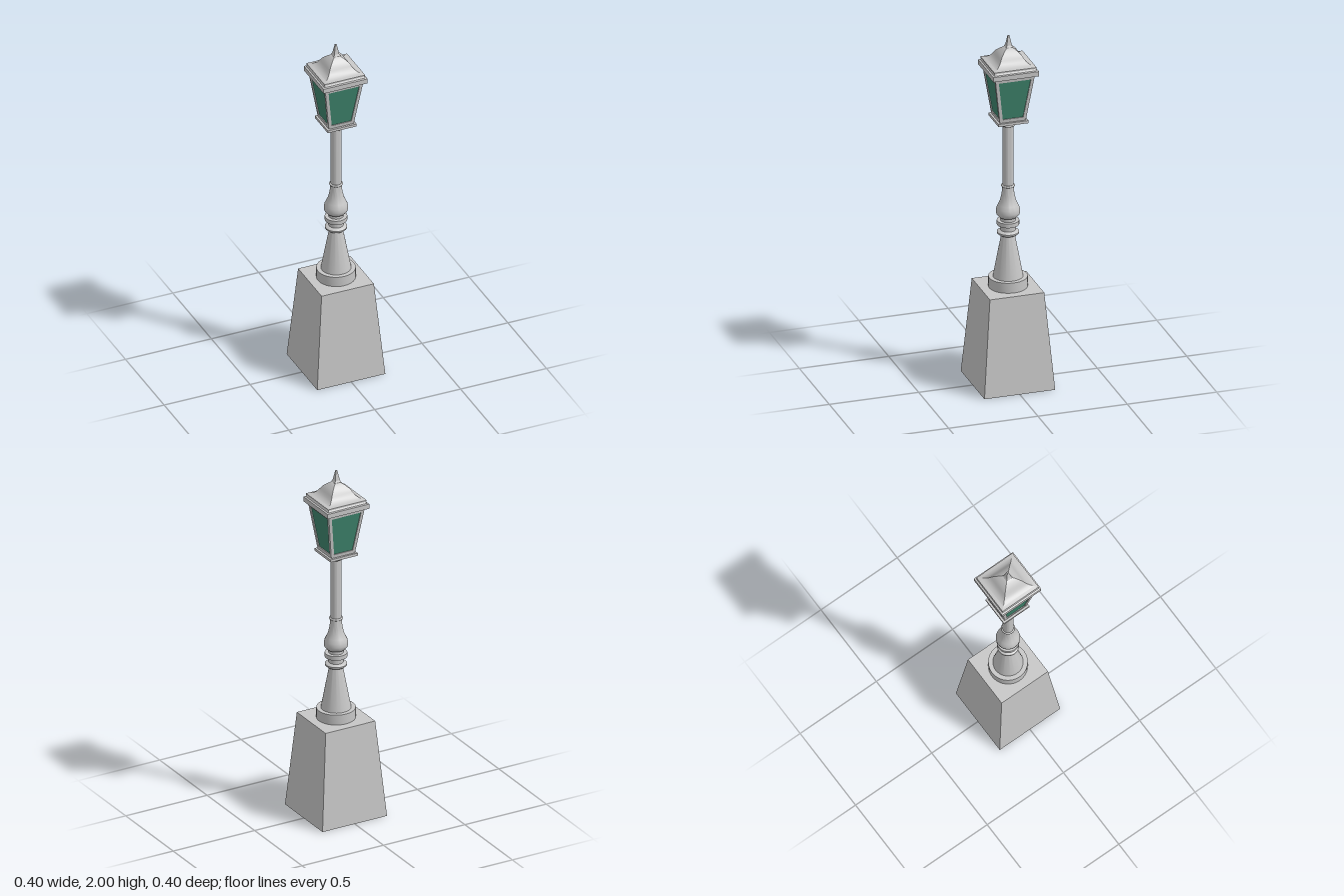
import * as THREE from 'three';
import { toCreasedNormals } from 'three/addons/utils/BufferGeometryUtils.js';

const metal = new THREE.MeshStandardMaterial({ color: 0xc6c6c6 });
metal.name = 'grey metal';
const glass = new THREE.MeshStandardMaterial({ color: 0x3e846c });
glass.name = 'green glass';

function add(parent, name, geometry, material = metal) {
  const mesh = new THREE.Mesh(geometry, material);
  mesh.name = name;
  parent.add(mesh);
  return mesh;
}

// Turned part: profile of [radius, height] from bottom to top
function turned(profile, crease = 0.6) {
  const points = profile.map(([r, y]) => new THREE.Vector2(r, y));
  return toCreasedNormals(new THREE.LatheGeometry(points, 40), crease);
}

// Square part with sloping sides: profile of [half width, height]
function squared(profile, crease = 0.01) {
  const points = profile.map(([h, y]) => new THREE.Vector2(h * Math.SQRT2, y));
  const geometry = new THREE.LatheGeometry(points, 4, Math.PI / 4);
  return toCreasedNormals(geometry, crease);
}

const BOTTOM = 1.525, TOP = 1.8;
const wallAt = (y) => 0.072 + (0.111 - 0.072) * (y - BOTTOM) / (TOP - BOTTOM);

function trapezoid(Type, w0, y0, w1, y1) {
  const path = new Type();
  path.moveTo(-w0, y0);
  path.lineTo(w0, y0);
  path.lineTo(w1, y1);
  path.lineTo(-w1, y1);
  path.closePath();
  return path;
}

// Lean a flat panel outwards to follow the lantern wall
function lean(geometry, inset) {
  const p = geometry.attributes.position;
  for (let i = 0; i < p.count; i++) p.setZ(i, p.getZ(i) + wallAt(p.getY(i)) - inset);
  geometry.computeVertexNormals();
  return geometry;
}

export function createModel() {
  const model = new THREE.Group();
  model.name = 'lampPost';

  // Tapered plinth
  add(model, 'plinth', squared([[0, 0], [0.198, 0], [0.152, 0.55], [0, 0.55]]));

  // Round post
  const post = new THREE.Group();
  post.name = 'post';
  model.add(post);
  add(post, 'collar', turned([[0.105, 0.549], [0.105, 0.608], [0, 0.608]]));
  add(post, 'taperedFoot', turned([[0.081, 0.607], [0.036, 0.85]]));
  add(post, 'lowerRing', turned([
    [0.034, 0.845], [0.05, 0.85], [0.059, 0.858], [0.059, 0.866], [0.05, 0.873], [0.034, 0.877],
  ], 0.9));
  add(post, 'neck', turned([[0.04, 0.86], [0.04, 0.96]]));
  add(post, 'middleRing', turned([[0.035, 0.907], [0.06, 0.907], [0.06, 0.931], [0.035, 0.931]]));
  add(post, 'bulb', turned([
    [0.03, 0.951], [0.05, 0.953], [0.062, 0.968], [0.065, 0.983], [0.062, 1.003], [0.053, 1.023],
    [0.043, 1.045], [0.036, 1.075], [0.032, 1.1], [0.03, 1.13],
  ], 0.8));
  add(post, 'shaft', turned([[0.029, 1.12], [0.029, 1.52]]));
  for (const [name, y, r] of [['shaftRing', 1.132, 0.031], ['topRing', 1.486, 0.034]]) {
    const ring = add(post, name, new THREE.TorusGeometry(r, 0.006, 10, 40));
    ring.rotation.x = Math.PI / 2;
    ring.position.y = y;
  }

  // Lantern
  const lantern = new THREE.Group();
  lantern.name = 'lantern';
  lantern.position.z = -0.003;
  model.add(lantern);
  add(lantern, 'lanternFloor', squared([
    [0, 1.513], [0.084, 1.513], [0.084, 1.528], [0, 1.528],
  ]));

  // Four framed panes
  for (let i = 0; i < 4; i++) {
    const side = new THREE.Group();
    side.name = 'lanternSide';
    side.rotation.y = i * Math.PI / 2;
    lantern.add(side);
    const frame = trapezoid(THREE.Shape, wallAt(BOTTOM), BOTTOM, wallAt(TOP), TOP);
    frame.holes.push(trapezoid(THREE.Path, 0.057, 1.548, 0.09, 1.775));
    const panel = new THREE.ExtrudeGeometry(frame, { depth: 0.01, bevelEnabled: false });
    add(side, 'windowFrame', lean(panel, 0.01));
    const pane = new THREE.ShapeGeometry(trapezoid(THREE.Shape, 0.06, 1.54, 0.093, 1.782));
    add(side, 'windowPane', lean(pane, 0.005), glass);
  }

  // Stepped eaves, curved roof and spike
  add(lantern, 'eaves', squared([
    [0, 1.797], [0.128, 1.797], [0.128, 1.824], [0.119, 1.827], [0.112, 1.838], [0, 1.838],
  ]));
  add(lantern, 'roof', squared([
    [0, 1.837], [0.118, 1.837], [0.118, 1.845], [0.1, 1.85], [0.086, 1.857], [0.074, 1.868],
    [0.064, 1.884], [0.055, 1.899], [0.044, 1.911], [0.032, 1.922], [0.018, 1.932], [0, 1.936],
  ], 0.45));
  add(lantern, 'spike', squared([[0, 1.928], [0.02, 1.934], [0.014, 1.945], [0.004, 2], [0, 2]]));

  return model;
}
